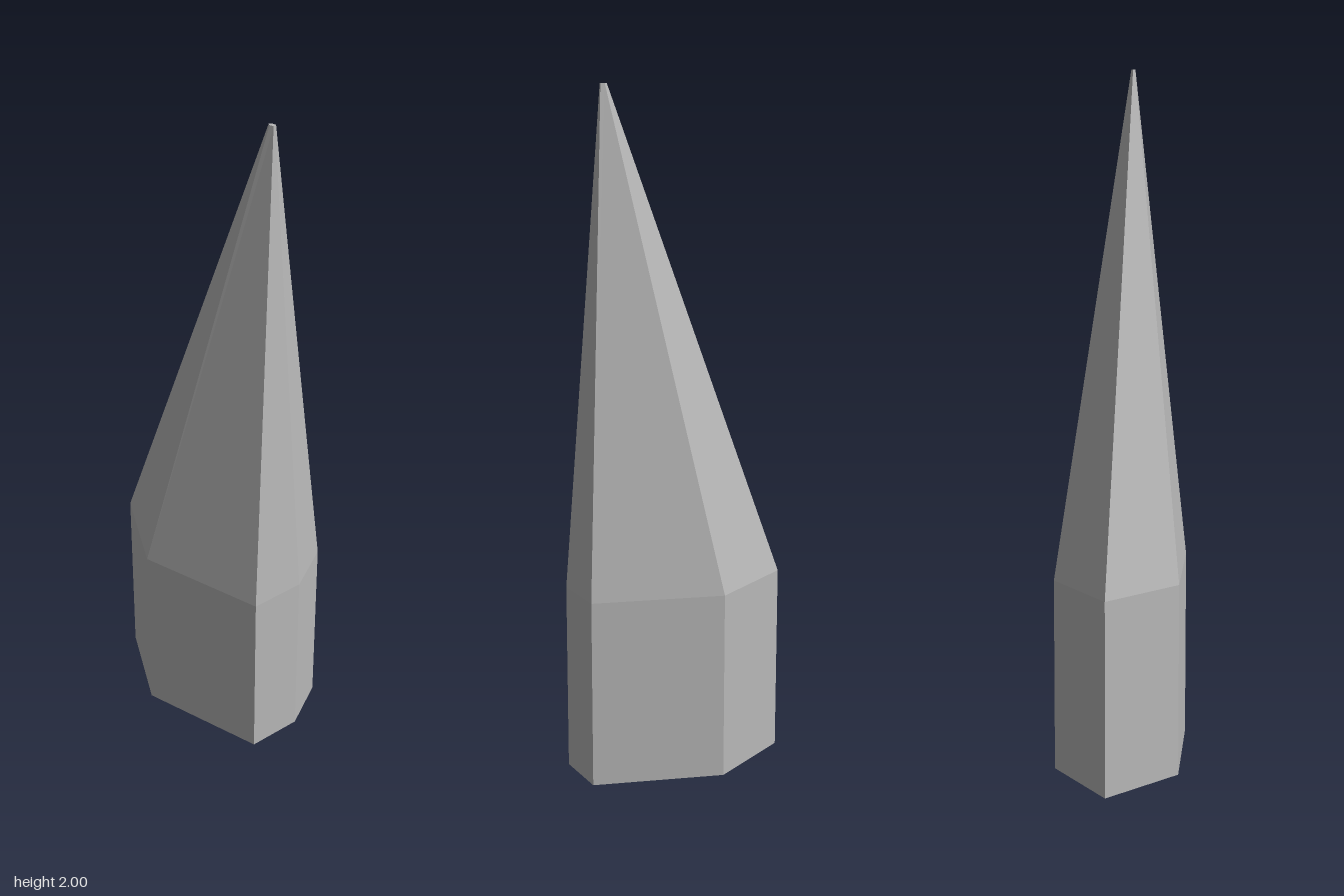
import * as THREE from 'three';

// Irregular six-sided footprint as [x, z]
const outline = [
  [-0.195, -0.3], [0.068, -0.205], [0.242, 0.141],
  [0.127, 0.257], [-0.03, 0.298], [-0.243, -0.025],
];

const baseRing = (y) => outline.map(([x, z]) => [x, y, z]);

// Faceted band of quads joining two rings, facing outward
function band(lower, upper) {
  const pos = [];
  lower.forEach((a, i) => {
    const j = (i + 1) % lower.length;
    const b = lower[j], c = upper[i], d = upper[j];
    pos.push(...b, ...a, ...c, ...b, ...c, ...d);
  });
  return toGeometry(pos);
}

// Flat upward-facing fan closing a ring
function cap(ring) {
  const pos = [];
  for (let i = 1; i < ring.length - 1; i++) pos.push(...ring[0], ...ring[i + 1], ...ring[i]);
  return toGeometry(pos);
}

function toGeometry(pos) {
  const geometry = new THREE.BufferGeometry();
  geometry.setAttribute('position', new THREE.Float32BufferAttribute(pos, 3));
  geometry.computeVertexNormals();
  return geometry;
}

export function createModel() {
  const group = new THREE.Group();
  group.name = 'crystalSpike';
  const stone = new THREE.MeshStandardMaterial({ color: 0xb8b8b8, flatShading: true, side: THREE.DoubleSide });
  stone.name = 'stone grey';

  const add = (name, geometry) => {
    const mesh = new THREE.Mesh(geometry, stone);
    mesh.name = name;
    group.add(mesh);
  };

  const bottom = baseRing(0);
  const shoulder = baseRing(0.56);
  // Tiny off-centre tip, a shrunken copy of the footprint
  const tip = outline.map(([x, z]) => [0.063 + x * 0.033, 2, 0.153 + z * 0.03]);

  add('shaft', band(bottom, shoulder)); // open underneath
  add('spire', band(shoulder, tip));
  add('tipCap', cap(tip));
  return group;
}
